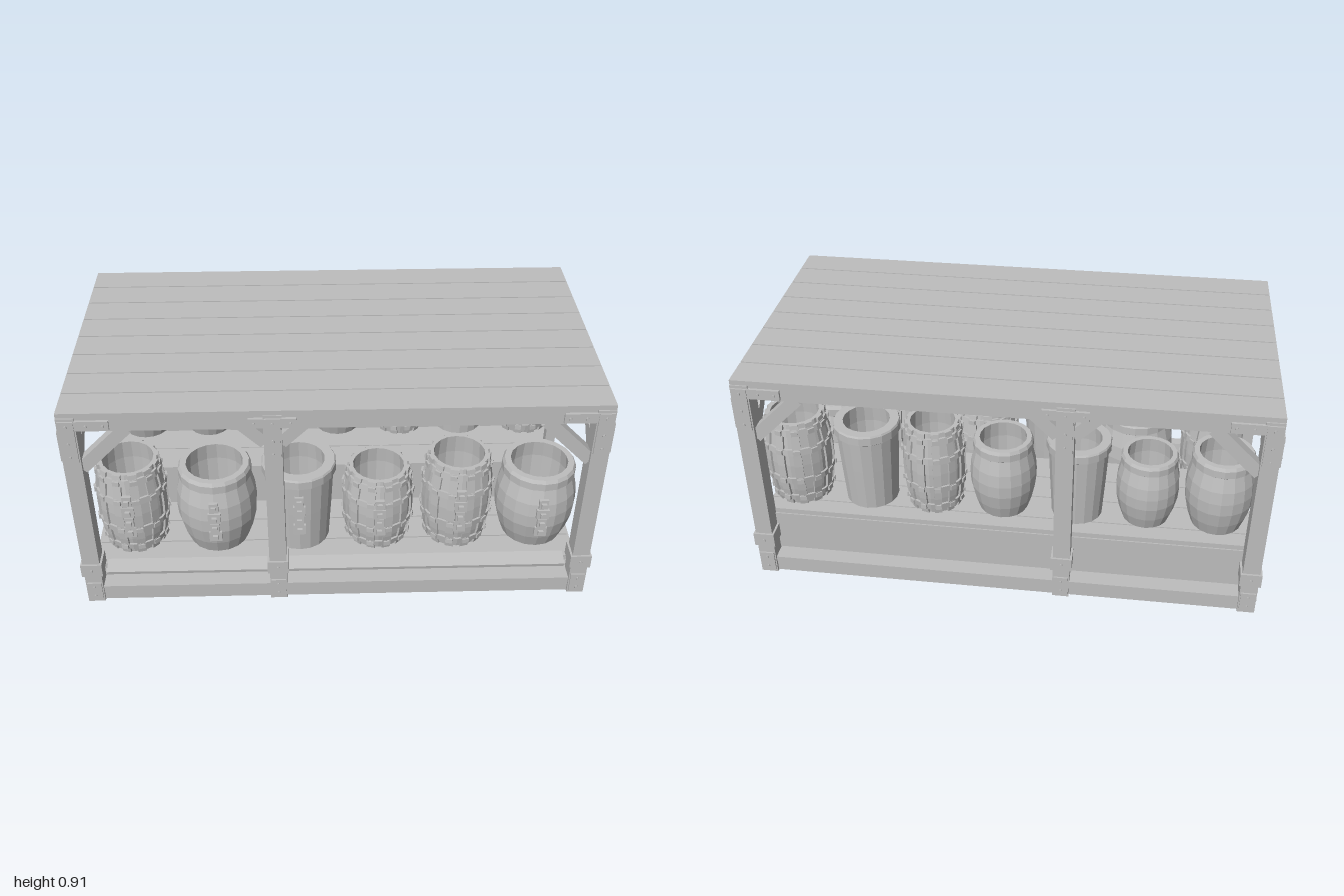
import * as THREE from 'three';

export function createModel() {
  const model = new THREE.Group();
  const grey = new THREE.MeshStandardMaterial({ color: 0xbebebe });
  grey.name = 'plain grey';

  const add = (name, geo, x = 0, y = 0, z = 0, parent = model) => {
    const m = new THREE.Mesh(geo, grey);
    m.name = name;
    m.position.set(x, y, z);
    parent.add(m);
    return m;
  };
  // box given by its extents on each axis
  const box = (name, x0, x1, y0, y1, z0, z1, parent = model) =>
    add(name, new THREE.BoxGeometry(x1 - x0, y1 - y0, z1 - z0), (x0 + x1) / 2, (y0 + y1) / 2, (z0 + z1) / 2, parent);
  const bolt = (x, y, z, alongX) => {
    const b = add('bolt', new THREE.CylinderGeometry(0.006, 0.006, 0.012, 6), x, y, z);
    if (alongX) b.rotation.z = Math.PI / 2; else b.rotation.x = Math.PI / 2;
  };
  const facetedLathe = (pts, sides) => {
    const g = new THREE.LatheGeometry(pts.map(p => new THREE.Vector2(p[0], p[1])), sides).toNonIndexed();
    g.computeVertexNormals();
    return g;
  };

  // roof and floor planks
  const pitch = 0.1288;
  for (let i = 0; i < 8; i++) {
    const z = -0.515 + i * pitch;
    box('roofPlank', -0.985, 0.985, 0.896, 0.915, z + 0.003, z + pitch - 0.003);
    const end = i === 0 || i === 7 ? 0.918 : 0.965;
    box('floorPlank', -end, end, 0.055, 0.079, z + 0.003, z + pitch - 0.003);
  }

  // long and cross beams
  for (const s of [-1, 1]) {
    const z = s * 0.48;
    box('bottomBeam', -0.93, 0.93, 0.008, 0.055, z - 0.027, z + 0.027);
    box('topBeam', -0.93, 0.93, 0.837, 0.896, z - 0.03, z + 0.03);
    const x = s * 0.952;
    box('sideBottomBeam', x - 0.027, x + 0.027, 0.008, 0.055, -0.45, 0.45);
    box('sideTopBeam', x - 0.03, x + 0.03, 0.837, 0.896, -0.45, 0.45);
    box('floorJoist', s * 0.32 - 0.025, s * 0.32 + 0.025, 0.012, 0.055, -0.46, 0.46);
    box('roofJoist', s * 0.32 - 0.025, s * 0.32 + 0.025, 0.845, 0.896, -0.46, 0.46);
  }

  // diagonal brace, in the plane across x or across z
  const brace = (x, y, z, alongX, dir, len) => {
    const g = alongX ? new THREE.BoxGeometry(len, 0.05, 0.045) : new THREE.BoxGeometry(0.045, 0.05, len);
    const b = add('brace', g, x, y, z);
    if (alongX) b.rotation.z = dir * Math.PI / 4; else b.rotation.x = -dir * Math.PI / 4;
  };

  // corner and middle posts with iron fittings
  for (const sz of [-1, 1]) {
    const z = sz * 0.48;
    for (const x of [-0.952, -0.23, 0.952]) {
      const sx = Math.sign(x), corner = Math.abs(x) > 0.5;
      box('post', x - 0.033, x + 0.033, 0.005, 0.896, z - 0.037, z + 0.037);
      box('postBand', x - 0.041, x + 0.041, 0.145, 0.203, z - 0.045, z + 0.045);
      const face = sz * 0.519;
      box('upperPlate', x - 0.028, x + 0.028, 0.705, 0.885, face - 0.004, face + 0.004);
      box('lowerPlate', x - 0.028, x + 0.028, 0.02, 0.105, face - 0.004, face + 0.004);
      const x0 = corner ? Math.min(x - sx * 0.15, x) : x - 0.085;
      const x1 = corner ? Math.max(x - sx * 0.15, x) : x + 0.085;
      box('beamPlate', x0, x1, 0.845, 0.885, sz * 0.514 - 0.006, sz * 0.514 + 0.006);
      for (const y of [0.04, 0.085, 0.175, 0.73, 0.79, 0.865]) bolt(x, y, sz * (y === 0.175 ? 0.526 : 0.523), false);
      for (const d of corner ? [-sx * 0.07, -sx * 0.13] : [-0.065, 0.065]) bolt(x + d, 0.865, sz * 0.521, false);
      if (corner) {
        const side = sx * 0.987;
        box('sidePlate', side - 0.004, side + 0.004, 0.705, 0.835, z - 0.03, z + 0.03);
        for (const y of [0.04, 0.085, 0.73, 0.8]) bolt(sx * (y > 0.5 ? 0.99 : 0.986), y, z, true);
        brace(x - sx * 0.115, 0.752, z, true, -sx, 0.25);
        brace(x, 0.752, z - sz * 0.118, false, -sz, 0.25);
      } else {
        brace(x - 0.07, 0.808, z, true, -1, 0.12);
        brace(x + 0.07, 0.808, z, true, 1, 0.12);
        brace(x, 0.752, z - sz * 0.118, false, -sz, 0.25);
      }
    }
  }
  // middle roof joist over the inner posts
  box('roofJoist', -0.26, -0.2, 0.845, 0.896, -0.46, 0.46);

  // front ledge
  const ledge = add('frontLedge', new THREE.BoxGeometry(1.83, 0.016, 0.065), 0, 0.092, 0.415);
  ledge.rotation.x = -0.2 + 0.4;

  // raised shelf at the back
  box('shelfBox', -0.943, 0.943, 0.083, 0.256, -0.45, 0.012);
  for (let i = 0; i < 4; i++) {
    const z = 0.016 - i * 0.131;
    box('shelfPlank', -0.95, 0.95, 0.256, 0.277, Math.max(z - 0.126, -0.445), z);
  }

  // long tilted price board on stands
  for (const x of [-0.92, -0.23, 0.92]) {
    box('boardStand', x - 0.02, x + 0.02, 0.275, 0.575, -0.085, -0.047);
    box('boardStandCap', x - 0.025, x + 0.025, 0.57, 0.605, -0.09, -0.043);
  }
  const board = add('tiltedBoard', new THREE.BoxGeometry(1.9, 0.022, 0.122), 0, 0.612, -0.064);
  board.rotation.x = 0.42;

  // vessel profiles as [share of radius, share of height]
  const profiles = {
    barrel: [[0.74, 0], [0.88, 0.17], [0.98, 0.36], [1, 0.52], [0.97, 0.68], [0.87, 0.86]],
    bucket: [[0.8, 0], [0.84, 0.25], [0.88, 0.5], [0.91, 0.72], [0.93, 0.87]],
    banded: [[0.78, 0], [0.88, 0.2], [0.93, 0.38], [0.94, 0.52], [0.92, 0.7], [0.84, 0.9], [0.8, 1]],
  };
  const radiusAt = (p, t) => {
    for (let i = 1; i < p.length; i++) {
      if (t <= p[i][1]) {
        const [a, b] = [p[i - 1], p[i]];
        return a[0] + (b[0] - a[0]) * (t - a[1]) / (b[1] - a[1]);
      }
    }
    return p[p.length - 1][0];
  };

  const vessel = (kind, x, y, z, r, h) => {
    const g = new THREE.Group();
    g.name = kind;
    g.position.set(x, y, z);
    model.add(g);
    const p = profiles[kind];
    const rim = kind === 'banded' ? [] : kind === 'barrel'
      ? [[0.9, 0.87], [0.9, 0.96], [0.85, 1]]
      : [[1, 0.89], [1, 0.98], [0.97, 1]];
    const inside = [[0.7, 1], [0.74, 0.8], [0.7, 0.2], [0, 0.2]];
    const pts = [[0, 0], ...p, ...rim, ...inside].map(q => [q[0] * r, q[1] * h]);
    add('vesselBody', facetedLathe(pts, 18), 0, 0, 0, g);

    if (kind === 'banded') {
      // raised staves around the body
      const outer = p.map(q => new THREE.Vector2(q[0] * r + 0.006, q[1] * h));
      const inner = p.map(q => new THREE.Vector2(q[0] * r - 0.012, q[1] * h)).reverse();
      const w = r * 0.24;
      const staveGeo = new THREE.ExtrudeGeometry(new THREE.Shape([...outer, ...inner]), { depth: w, bevelEnabled: false });
      staveGeo.translate(0, 0, -w / 2);
      for (let i = 0; i < 12; i++) add('stave', staveGeo, 0, 0, 0, g).rotation.y = (i + 0.5) * Math.PI / 6;
      // hoops
      for (const t of [0.06, 0.3, 0.66, 0.88]) {
        const a = radiusAt(p, t) * r, b = radiusAt(p, t + 0.07) * r;
        const y0 = t * h, y1 = (t + 0.07) * h;
        add('hoop', facetedLathe([[a - 0.01, y0], [a + 0.009, y0], [b + 0.009, y1], [b - 0.01, y1]], 18), 0, 0, 0, g);
        for (let i = 0; i < 12; i++) {
          const ang = (i + 0.5) * Math.PI / 6, d = (a + b) / 2 + 0.008;
          const clip = add('hoopClip', new THREE.BoxGeometry(w * 0.8, 0.02, 0.012),
            Math.sin(ang) * d, (y0 + y1) / 2, Math.cos(ang) * d, g);
          clip.rotation.y = ang;
        }
      }
    }
    // strap with studs on the front
    for (let i = 0; i < 4; i++) {
      const t = 0.32 + i * 0.13, d = radiusAt(p, t) * r;
      add('strapLink', new THREE.BoxGeometry(i % 2 ? 0.036 : 0.05, h * 0.125, 0.014), 0, t * h, d + 0.003, g);
      add('strapStud', new THREE.BoxGeometry(0.02, 0.02, 0.014), 0, t * h, d + 0.014, g);
    }
  };

  // front row: kind, x, radius, height
  [['banded', -0.82, 0.145, 0.4], ['barrel', -0.48, 0.163, 0.37], ['bucket', -0.145, 0.15, 0.38],
    ['banded', 0.174, 0.146, 0.345], ['banded', 0.495, 0.146, 0.4], ['barrel', 0.82, 0.163, 0.355],
  ].forEach(([k, x, r, h]) => vessel(k, x, 0.079, 0.2, r, h));
  // back row on the shelf
  [['barrel', -0.815, 0.133, 0.33], ['barrel', -0.54, 0.122, 0.3], ['bucket', -0.27, 0.125, 0.345],
    ['barrel', 0.022, 0.13, 0.325], ['banded', 0.295, 0.124, 0.378], ['bucket', 0.556, 0.13, 0.36],
    ['banded', 0.84, 0.135, 0.378],
  ].forEach(([k, x, r, h]) => vessel(k, x, 0.277, -0.295, r, h));

  return model;
}
